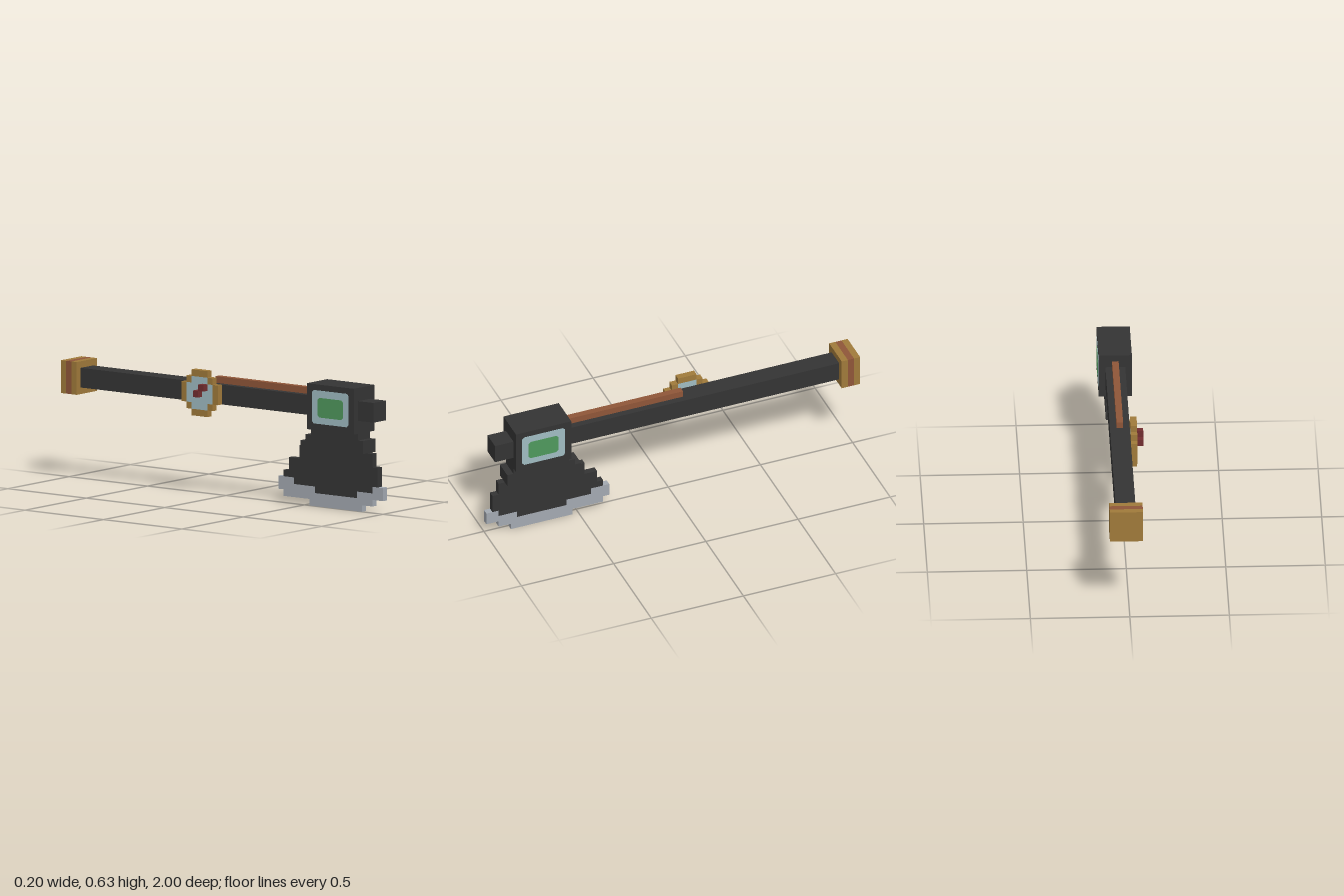
import * as THREE from 'three';
import { mergeGeometries } from 'three/addons/utils/BufferGeometryUtils.js';

const U = 1 / 30; // one block

const mat = (name, color) => new THREE.MeshStandardMaterial({ name, color });

// Box from block coordinates: x0,x1, y0,y1, z0,z1
function block([x0, x1, y0, y1, z0, z1]) {
  const g = new THREE.BoxGeometry((x1 - x0) * U, (y1 - y0) * U, (z1 - z0) * U);
  return g.translate((x0 + x1) * U / 2, (y0 + y1) * U / 2, (z0 + z1) * U / 2);
}

export function createModel() {
  const model = new THREE.Group();
  model.name = 'blockAxe';

  const dark = mat('darkIron', 0x343434);
  const silver = mat('silverEdge', 0xa3a9b1);
  const gold = mat('gold', 0xa07a3a);
  const copper = mat('copper', 0x8f5638);
  const glass = mat('paleGlass', 0xa0bcc2);
  const green = mat('greenScreen', 0x4f985d);
  const red = mat('redHand', 0x722d2f);

  const add = (name, material, boxes) => {
    const mesh = new THREE.Mesh(mergeGeometries(boxes.map(block)), material);
    mesh.name = name;
    model.add(mesh);
  };
  // Stacked rows [y0, y1, z0, z1] sharing one thickness in x
  const rows = (x0, x1, list) => list.map((r) => [x0, x1, ...r]);

  // Handle and head
  add('handle', dark, [[-1, 2, 14, 17, -27, 17]]);
  add('topRail', copper, [[0, 1, 17, 18, -2, 17]]);
  add('head', dark, [[-2, 3, 12, 19, 17, 26]]);
  add('frontNub', dark, [[-1, 2, 14, 17, 26, 29]]);
  add('neck', dark, rows(-1, 2, [[11, 12, 17, 26], [10, 11, 16, 27], [9, 10, 15, 27]]));

  // Blade with its stepped cutting edge
  add('blade', dark, rows(0, 1, [
    [7, 9, 14, 28], [5, 7, 12, 29], [4, 5, 11, 29], [3, 4, 13, 28], [2, 3, 17, 25],
  ]));
  add('cuttingEdge', silver, rows(0, 1, [
    [3, 4, 28, 30], [3, 4, 10, 13], [2, 3, 25, 30], [2, 3, 10, 17],
    [1, 2, 11, 28], [0, 1, 16, 26],
  ]));

  // Pommel with a copper band
  add('pommel', gold, [[-2, 3, 13, 18, -30, -29], [-2, 3, 13, 18, -28, -27]]);
  add('pommelBand', copper, [[-2, 3, 13, 18, -29, -28]]);

  // Round dial on the right side of the handle
  add('dialRim', gold, rows(-2, -1, [
    [12, 13, -5, -2], [18, 19, -5, -2],
    [13, 14, -6, -5], [13, 14, -2, -1], [17, 18, -6, -5], [17, 18, -2, -1],
    [14, 17, -7, -6], [14, 17, -1, 0],
  ]));
  add('dialFace', glass, rows(-2, -1, [[13, 14, -5, -2], [14, 17, -6, -1], [17, 18, -5, -2]]));
  add('dialHand', red, rows(-3, -2, [[16, 17, -3, -2], [15, 16, -4, -3]]));

  // Thin window plates with clipped corners on both sides of the head
  const plate = (name, material, side, y0, y1, z0, z1, depth) => {
    const c = 0.35;
    const pts = [
      [z0 + c, y0], [z1 - c, y0], [z1, y0 + c], [z1, y1 - c],
      [z1 - c, y1], [z0 + c, y1], [z0, y1 - c], [z0, y0 + c],
    ].map(([z, y]) => new THREE.Vector2(-z * U, y * U));
    const g = new THREE.ExtrudeGeometry(new THREE.Shape(pts), { depth, bevelEnabled: false });
    g.translate(0, 0, -depth / 2).rotateY(Math.PI / 2);
    const mesh = new THREE.Mesh(g, material);
    mesh.name = name;
    mesh.position.x = side > 0 ? 3 * U : -2 * U;
    model.add(mesh);
  };
  for (const side of [1, -1]) {
    const label = side > 0 ? 'left' : 'right';
    plate(label + 'WindowFrame', glass, side, 13, 18.1, 18, 25, 0.003);
    plate(label + 'WindowScreen', green, side, 14, 17, 19.1, 24, 0.006);
  }

  return model;
}
